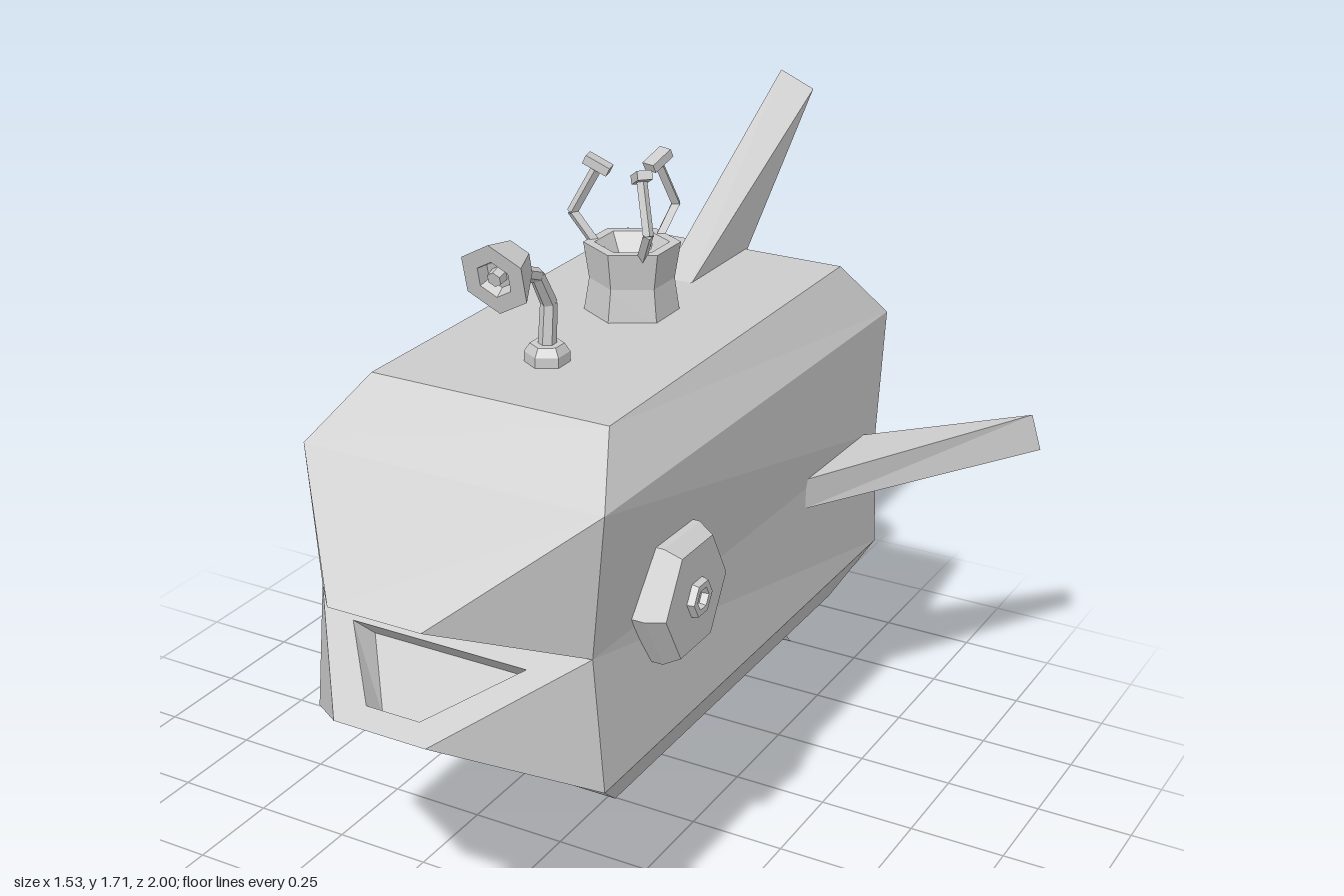
import * as THREE from 'three';

const material = new THREE.MeshStandardMaterial({ color: 0xcccccc, flatShading: true, side: THREE.DoubleSide });
const v = (x, y, z) => [x, y, z];
const mirror = ([x, y, z]) => [-x, y, z];

function add(parent, name, geometry) {
  const mesh = new THREE.Mesh(geometry, material);
  mesh.name = name;
  parent.add(mesh);
  return mesh;
}

// Flat polygons, each given as a counter-clockwise loop of corners
function polygons(faces) {
  const positions = [];
  for (const f of faces)
    for (let i = 1; i < f.length - 1; i++) positions.push(...f[0], ...f[i], ...f[i + 1]);
  const geometry = new THREE.BufferGeometry();
  geometry.setAttribute('position', new THREE.Float32BufferAttribute(positions, 3));
  geometry.computeVertexNormals();
  return geometry;
}

// A face with a sunken, inset pocket
function pocket(outer, inner, floor) {
  const faces = [floor];
  for (const [a, b] of [[outer, inner], [inner, floor]])
    a.forEach((p, i) => {
      const k = (i + 1) % a.length;
      faces.push([p, a[k], b[k], b[i]]);
    });
  return faces;
}

// Six-sided turned part along y; profile is [radius, height] pairs
function hex(profile, start = 0) {
  return new THREE.LatheGeometry(profile.map(([r, y]) => new THREE.Vector2(r, y)), 6, start);
}

// Straight bar between two points
function bar(parent, name, a, b, r0, r1, sides) {
  const from = new THREE.Vector3(...a), dir = new THREE.Vector3(...b).sub(from);
  const mesh = add(parent, name, new THREE.CylinderGeometry(r1, r0, dir.length(), sides));
  mesh.position.copy(from).addScaledVector(dir, 0.5);
  mesh.quaternion.setFromUnitVectors(new THREE.Vector3(0, 1, 0), dir.normalize());
}

function hullGeometry() {
  // Corners of the +x half: top, shoulder, middle, lower, bottom (front 1, back 2), jaw tips
  const T1 = v(0.31, 1.33, 0.54), T2 = v(0.31, 1.33, -0.64);
  const S1 = v(0.39, 1.2, 0.7), S2 = v(0.39, 1.18, -0.77);
  const M1 = v(0.36, 0.85, 0.7), M2 = v(0.39, 0.85, -0.735);
  const L1 = v(0.39, 0.52, 0.7), L2 = v(0.39, 0.52, -0.77);
  const B1 = v(0.32, 0.39, 0.53), B2 = v(0.32, 0.39, -0.64);
  const U = v(0.12, 0.99, 1), D = v(0.12, 0.71, 1);

  const side = [
    [T1, S1, S2, T2], [S1, M1, M2, S2], [M1, L1, L2, M2], [L1, B1, B2, L2],
    [U, M1, S1], [D, L1, M1],
  ];
  const across = [[S1, T1], [U, S1], [M1, U], [L1, D], [B1, L1], [T1, T2], [B2, B1]]
    .map(([a, b]) => [mirror(a), a, b, mirror(b)]);
  across.push([S2, mirror(S2), mirror(T2), T2], [B2, mirror(B2), mirror(L2), L2]);

  // Mouth opening in the lower jaw
  const lip = [v(-0.07, 0.735, 0.946), v(0.07, 0.735, 0.946), v(0.23, 0.82, 0.764), v(-0.23, 0.82, 0.764)];
  const mouth = pocket([mirror(D), D, M1, mirror(M1)], lip, lip.map(([x, y, z]) => v(x * 0.9, y - 0.05, z - 0.05)));

  // Engine bay in the back
  const bay = [v(0.29, 0.58, -0.763), v(-0.29, 0.58, -0.763), v(-0.29, 0.85, -0.735),
    v(-0.29, 1.11, -0.763), v(0.29, 1.11, -0.763), v(0.29, 0.85, -0.735)];
  const back = pocket([L2, mirror(L2), mirror(M2), mirror(S2), S2, M2], bay, bay.map(([x, y]) => v(x, y, -0.68)));

  const otherSide = side.map(f => f.map(mirror).reverse());
  return polygons([...side, ...otherSide, ...across, ...mouth, ...back]);
}

// Wedge fin pointing along +x, ending in a slanted edge
function finGeometry(base, tipUp, tipDown, tipZ) {
  const h = 0.04, root = base - 0.01;
  const A = v(root, h, -0.325), B = v(root, -h, -0.325), C = v(root, -h, -0.645), D = v(root, h, -0.645);
  const E = v(tipUp, 0.045, tipZ), F = v(tipDown, -0.05, tipZ);
  return polygons([[B, F, E, A], [D, E, F, C], [A, E, D], [C, F, B]]);
}

export function createModel() {
  const model = new THREE.Group();
  add(model, 'hull', hullGeometry());

  // Fins: name, angle round the hull, root, tip corners, tip z
  for (const [name, angle, base, up, down, z] of [
    ['leftFin', 0, 0.39, 0.73, 0.76, -0.99],
    ['topFin', Math.PI / 2, 0.495, 0.875, 0.835, -1],
    ['rightFin', Math.PI, 0.39, 0.73, 0.77, -0.99],
    ['bottomFin', -Math.PI / 2, 0.445, 0.83, 0.795, -1],
  ]) {
    const fin = add(model, name, finGeometry(base, up, down, z));
    fin.position.y = 0.835;
    fin.rotation.z = angle;
  }

  // Three flared engines
  const nozzle = hex([[0, 0], [0.1, 0], [0.095, 0.18], [0.123, 0.305], [0.07, 0.305], [0.06, 0.2], [0, 0.2]], Math.PI / 6);
  for (const [x, y, dx, dy] of [[0, 0.99, 0, 0.12], [0.17, 0.685, 0.11, -0.06], [-0.17, 0.685, -0.11, -0.06]]) {
    const engine = add(model, 'engine', nozzle);
    engine.position.set(x, y, -0.67);
    engine.quaternion.setFromUnitVectors(new THREE.Vector3(0, 1, 0), new THREE.Vector3(dx, dy, -1).normalize());
  }

  // Round side windows with a small hollow boss
  for (const s of [1, -1]) {
    const porthole = add(model, s > 0 ? 'leftPorthole' : 'rightPorthole',
      hex([[0.168, 0], [0.168, 0.04], [0.145, 0.08], [0.048, 0.08], [0.044, 0.097], [0.027, 0.097], [0.024, 0.08], [0, 0.08]]));
    porthole.position.set(s * 0.36, 0.875, 0.37);
    porthole.rotation.z = -s * Math.PI / 2;
  }

  // Door frame on the right side, with a chamfered opening
  const frame = new THREE.Shape([[-0.25, 0.52], [0.155, 0.52], [0.155, 1.18], [-0.25, 1.18]].map(p => new THREE.Vector2(...p)));
  frame.holes.push(new THREE.Path([[-0.19, 0.62], [-0.15, 0.57], [0.055, 0.57], [0.095, 0.62],
    [0.095, 1.08], [0.055, 1.13], [-0.15, 1.13], [-0.19, 1.08]].map(p => new THREE.Vector2(...p))));
  const door = add(model, 'doorFrame', new THREE.ExtrudeGeometry(frame, { depth: 0.06, bevelEnabled: false }));
  door.rotation.y = -Math.PI / 2;
  door.position.x = -0.375;

  // Bent lamp
  const lamp = new THREE.Group();
  lamp.name = 'lamp';
  model.add(lamp);
  add(lamp, 'lampBase', hex([[0.053, 0], [0.053, 0.03], [0.04, 0.05], [0, 0.05]])).position.set(0, 1.325, 0.285);
  const neck = [v(0, 1.36, 0.285), v(0, 1.47, 0.275), v(0, 1.55, 0.325), v(0, 1.59, 0.43)];
  for (let i = 0; i < 3; i++) bar(lamp, 'lampNeck', neck[i], neck[i + 1], 0.022 - i * 0.002, 0.02 - i * 0.002, 6);
  const head = add(lamp, 'lampHead', hex([[0, 0], [0.05, 0], [0.088, 0.085], [0.045, 0.085], [0.035, 0.06], [0.02, 0.06], [0.018, 0.085], [0, 0.085]]));
  head.position.set(0, 1.615, 0.42);
  head.rotation.x = Math.PI / 2 + 0.25;

  // Funnel with three grabbing arms
  const grabber = new THREE.Group();
  grabber.name = 'grabber';
  grabber.position.set(0, 1.32, -0.11);
  model.add(grabber);
  add(grabber, 'funnel', hex([[0.117, 0], [0.103, 0.09], [0.117, 0.18], [0.09, 0.18], [0.035, 0.09], [0, 0.09]]));
  for (let i = 0; i < 3; i++) {
    const arm = new THREE.Group();
    arm.name = 'grabberArm';
    arm.rotation.y = -2.9 - i * Math.PI * 2 / 3;
    grabber.add(arm);
    bar(arm, 'lowerArm', v(0.07, 0.14, 0), v(0.15, 0.245, 0), 0.013, 0.013, 4);
    bar(arm, 'upperArm', v(0.15, 0.24, 0), v(0.085, 0.36, 0), 0.013, 0.013, 4);
    const claw = add(arm, 'claw', new THREE.BoxGeometry(0.065, 0.022, 0.036));
    claw.position.set(0.085, 0.365, 0);
    claw.rotation.z = 0.45;
  }
  return model;
}
